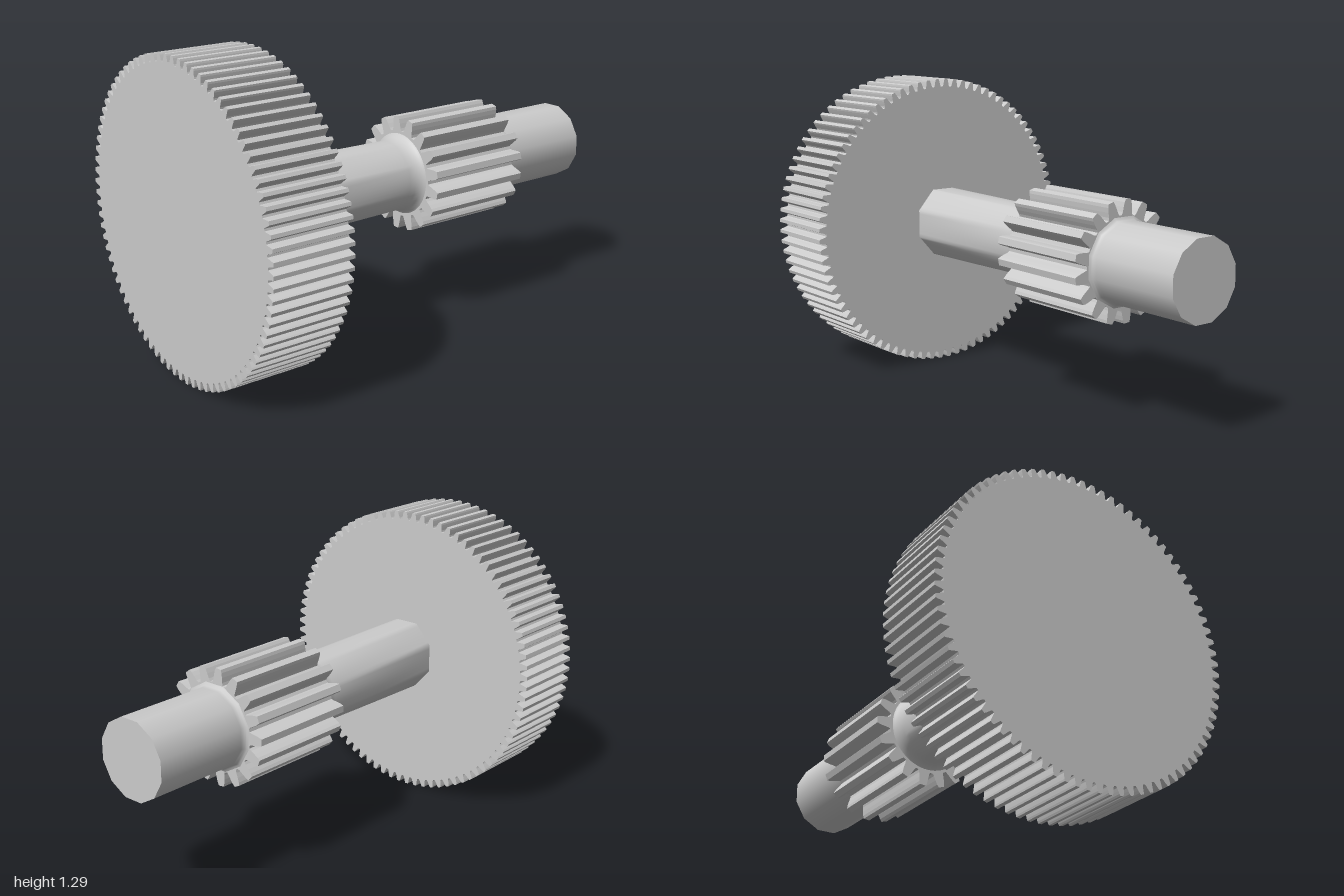
import * as THREE from 'three';

const AXIS_Y = 0.645;
const material = new THREE.MeshStandardMaterial({ color: 0xcccccc });
const shaftMaterial = new THREE.MeshStandardMaterial({ color: 0xcccccc });

function addMesh(group, name, geometry, mat = material) {
  const mesh = new THREE.Mesh(geometry, mat);
  mesh.name = name;
  group.add(mesh);
  return mesh;
}

// Spur gear outline: each tooth has a wide foot, curved flanks and a narrow tip.
function gear(teeth, root, tip, zBack, zFront, firstTooth) {
  const pitch = (Math.PI * 2) / teeth;
  const flank = [[0.4, 0], [0.33, 0.18], [0.27, 0.5], [0.21, 0.8], [0.15, 1]];
  const tooth = [
    ...flank.map(([a, h]) => [-a, h]),
    ...flank.slice().reverse(),
  ];
  const points = [];
  for (let i = 0; i < teeth; i++) {
    for (const [a, h] of tooth) {
      const angle = firstTooth + (i + a) * pitch;
      const r = root + (tip - root) * h;
      points.push(new THREE.Vector2(r * Math.cos(angle), r * Math.sin(angle)));
    }
  }
  const geometry = new THREE.ExtrudeGeometry(new THREE.Shape(points), {
    depth: zFront - zBack, bevelEnabled: false,
  });
  return geometry.translate(0, 0, zBack);
}

// Shaft that changes from a flattened octagon (front) to a circle (back).
// Each section is [z, x radius, y radius, octagon share].
function taperedShaft(sections) {
  const sides = 64, positions = [], index = [];
  sections.forEach(([z, rx, ry, octagon], row) => {
    for (let i = 0; i < sides; i++) {
      const a = (i / sides) * Math.PI * 2;
      const step = Math.PI / 4;
      const off = a - Math.round(a / step) * step;
      const k = 1 + octagon * (1 / Math.cos(off) - 1);
      positions.push(rx * k * Math.cos(a), ry * k * Math.sin(a), z);
      if (row > 0) {
        const j = (i + 1) % sides;
        const p = (row - 1) * sides, q = row * sides;
        index.push(p + i, p + j, q + j, p + i, q + j, q + i);
      }
    }
  });
  const geometry = new THREE.BufferGeometry();
  geometry.setAttribute('position', new THREE.Float32BufferAttribute(positions, 3));
  geometry.setIndex(index);
  geometry.computeVertexNormals();
  return geometry;
}

// Twelve-sided turned part, profile given as [radius, z] from back to front.
function turned(profile) {
  const points = profile.map(([r, z]) => new THREE.Vector2(r, z));
  return new THREE.LatheGeometry(points, 12, Math.PI / 12).rotateX(Math.PI / 2);
}

export function createModel() {
  const model = new THREE.Group();
  model.name = 'gearShaft';
  const parts = new THREE.Group();
  parts.name = 'rotatingParts';
  parts.position.y = AXIS_Y;
  model.add(parts);

  // Large front gear with a gap at the top
  addMesh(parts, 'largeGear', gear(84, 0.611, 0.646, 0.65, 1, Math.PI / 84));

  // Small pinion with a tooth pointing to the right
  addMesh(parts, 'pinion', gear(17, 0.186, 0.247, -0.565, -0.085, Math.PI));

  // Tapered shaft between the gears, flaring into the pinion
  shaftMaterial.side = THREE.DoubleSide;
  addMesh(parts, 'middleShaft', taperedShaft([
    [-0.087, 0.176, 0.176, 0],
    [-0.08, 0.166, 0.166, 0],
    [-0.065, 0.157, 0.157, 0],
    [-0.045, 0.151, 0.151, 0],
    [-0.02, 0.149, 0.149, 0.05],
    [0.3, 0.141, 0.149, 0.5],
    [0.652, 0.132, 0.148, 1],
  ].reverse()), shaftMaterial);

  // Rear journal with a small fillet against the pinion
  addMesh(parts, 'rearShaft', turned([
    [0.167, -1], [0.167, -0.59], [0.171, -0.575], [0.178, -0.568], [0.188, -0.563],
  ]));
  const end = new THREE.CircleGeometry(0.167, 12, Math.PI / 12).rotateY(Math.PI);
  addMesh(parts, 'rearShaftEnd', end.translate(0, 0, -1));

  return model;
}
